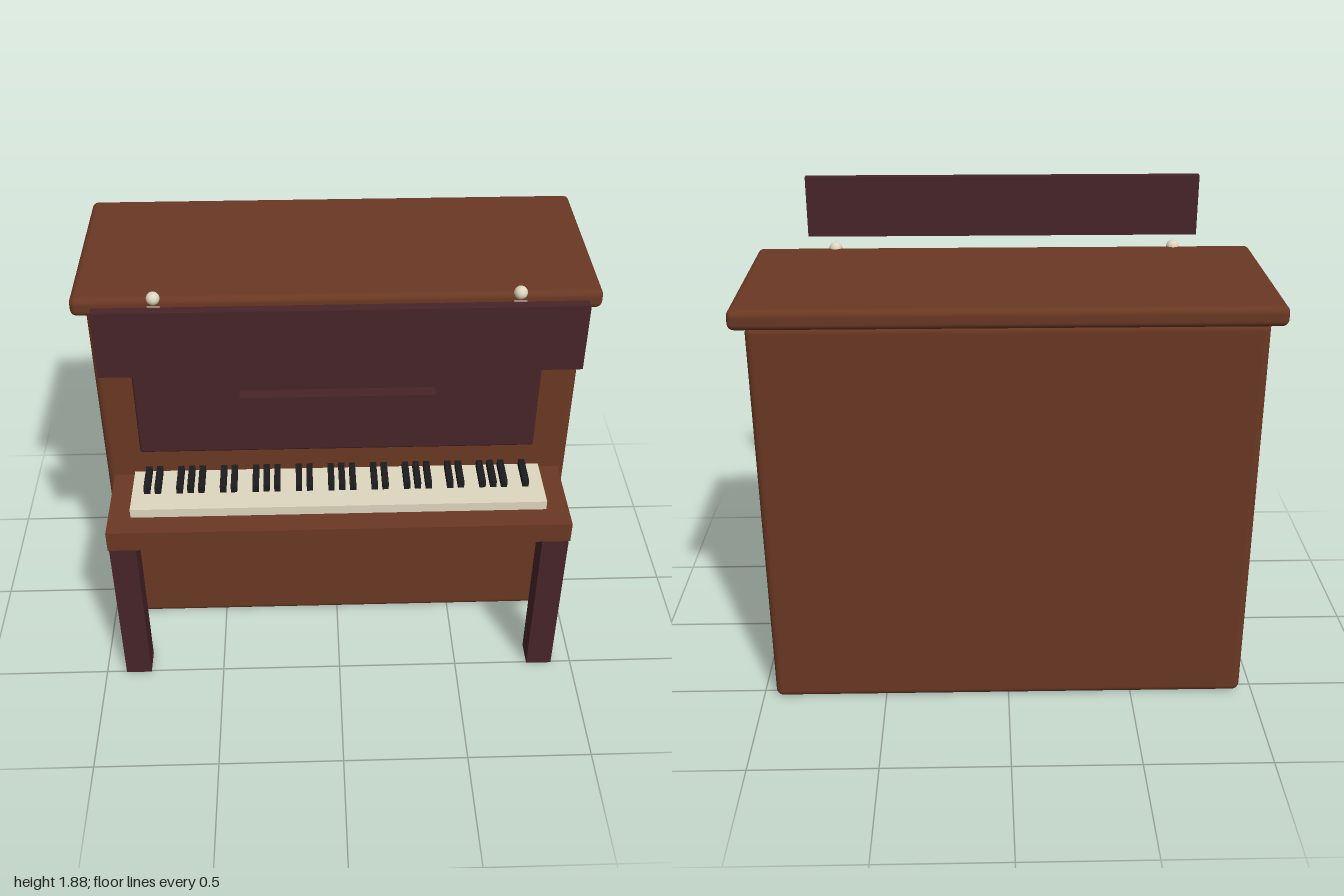
import * as THREE from 'three';
import { RoundedBoxGeometry } from 'three/addons/geometries/RoundedBoxGeometry.js';

const material = (name, color) => {
  const m = new THREE.MeshStandardMaterial({ color });
  m.name = name;
  return m;
};

export function createModel() {
  const model = new THREE.Group();
  model.name = 'uprightPiano';
  const wood = material('walnut', 0x6a3823);
  const dark = material('darkMahogany', 0x472528);
  const ivory = material('ivory', 0xded6bf);
  const black = material('ebony', 0x1c1c1e);

  const add = (name, geometry, mat, parent = model) => {
    const mesh = new THREE.Mesh(geometry, mat);
    mesh.name = name;
    parent.add(mesh);
    return mesh;
  };
  // Box given by its extents on each axis; a radius rounds its edges
  const box = (name, mat, [x0, x1], [y0, y1], [z0, z1], radius = 0, parent = model) => {
    const size = [x1 - x0, y1 - y0, z1 - z0];
    const geometry = radius
      ? new RoundedBoxGeometry(...size, 3, radius)
      : new THREE.BoxGeometry(...size);
    const mesh = add(name, geometry, mat, parent);
    mesh.position.set((x0 + x1) / 2, (y0 + y1) / 2, (z0 + z1) / 2);
    return mesh;
  };

  // Cabinet and lid
  box('cabinet', wood, [-0.95, 0.95], [0, 1.605], [-0.55, 0.15], 0.03);
  box('lid', wood, [-1, 1], [1.605, 1.682], [-0.6, 0.19], 0.025);

  // Front panel, music ledge and raised fall board
  box('frontPanel', dark, [-0.8, 0.8], [0.95, 1.47], [0.115, 0.186], 0.012);
  box('musicLedge', dark, [-0.383, 0.383], [1.075, 1.255], [0.17, 0.238]);
  box('fallBoard', dark, [-0.847, 0.847], [1.62, 1.88], [0.563, 0.6]);

  // Key bed on two front legs
  box('keyBed', wood, [-0.92, 0.92], [0.72, 0.81], [0.13, 0.513]);
  for (const [name, x] of [['leftLeg', 0.863], ['rightLeg', -0.863]]) {
    box(name, dark, [x - 0.053, x + 0.053], [0, 0.72], [0.4, 0.506]);
  }

  // White key slab with black keys in groups of two and three
  box('whiteKeys', ivory, [-0.83, 0.83], [0.81, 0.85], [0.18, 0.42]);
  const blackKeys = new THREE.Group();
  blackKeys.name = 'blackKeys';
  model.add(blackKeys);
  for (let i = 0; i < 36; i++) {
    if (i % 7 === 2 || i % 7 === 6) continue;
    const x = -0.769 + i * 0.0436;
    box('blackKey', black, [x - 0.0125, x + 0.0125], [0.85, 0.881], [0.187, 0.324], 0, blackKeys);
  }

  // Candle posts with round tips
  for (const [side, x] of [['left', 0.686], ['right', -0.686]]) {
    const candle = new THREE.Group();
    candle.name = side + 'Candle';
    candle.position.set(x, 0, 0.181);
    model.add(candle);
    add('post', new THREE.CylinderGeometry(0.027, 0.027, 0.18, 16), ivory, candle).position.y = 1.56;
    add('tip', new THREE.SphereGeometry(0.026, 16, 12), ivory, candle).position.y = 1.68;
  }

  return model;
}
